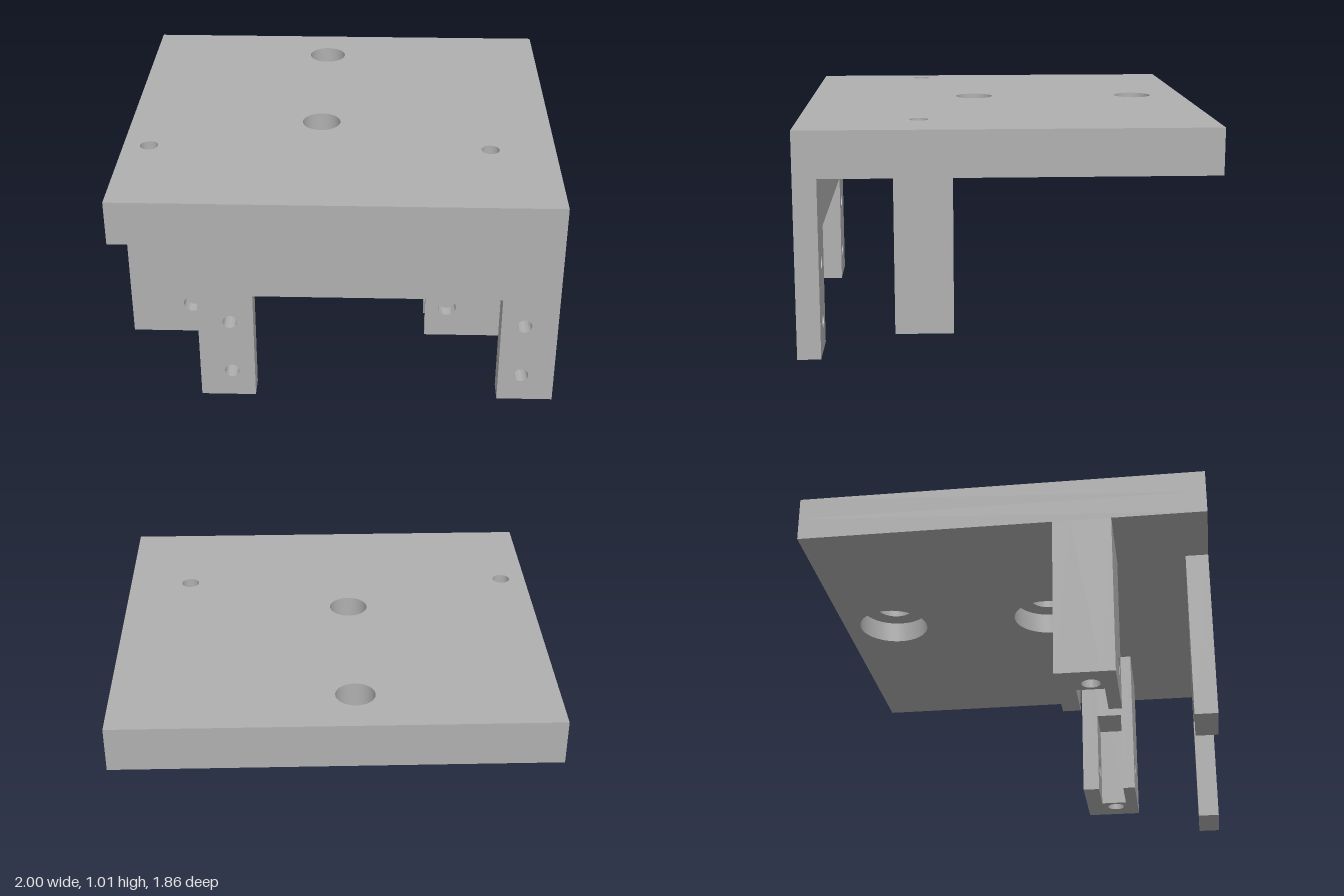
import * as THREE from 'three';
import { toCreasedNormals } from 'three/addons/utils/BufferGeometryUtils.js';

const metal = new THREE.MeshStandardMaterial({ color: 0xb0b0b0 });
metal.name = 'grey metal';

const rect = (x0, y0, x1, y1) => [[x0, y0], [x1, y0], [x1, y1], [x0, y1]];

// Outline with round holes [x, y, radius], extruded by depth
function slab(outline, holes, depth) {
  const shape = new THREE.Shape(outline.map(([x, y]) => new THREE.Vector2(x, y)));
  for (const [x, y, r] of holes) {
    const path = new THREE.Path();
    path.absarc(x, y, r, 0, Math.PI * 2, true);
    shape.holes.push(path);
  }
  return new THREE.ExtrudeGeometry(shape, { depth, bevelEnabled: false, curveSegments: 20 });
}

function add(group, name, geometry) {
  const mesh = new THREE.Mesh(toCreasedNormals(geometry, 0.6), metal);
  mesh.name = name;
  group.add(mesh);
}

// Outline drawn in x, y and extruded from z0 to z1
const upright = (group, name, outline, holes, z0, z1) =>
  add(group, name, slab(outline, holes, z1 - z0).translate(0, 0, z0));

// Outline drawn in x, z and extruded from y0 to y1
const flat = (group, name, outline, holes, y0, y1) =>
  add(group, name, slab(outline, holes, y1 - y0).rotateX(Math.PI / 2).translate(0, y1, 0));

const TOP = 1.015, UNDER = 0.805, AXIS = -0.09;
const Z = 0.93;

// Slotted block; side = -1 or 1, mirrored about the plate's hole axis
function makeClevis(side, name) {
  const group = new THREE.Group();
  group.name = name;
  const at = (d) => AXIS + side * d;
  const span = (d0, d1, a, b) => rect(Math.min(at(d0), at(d1)), a, Math.max(at(d0), at(d1)), b);
  const inner = 0.51, outer = 0.91, slotEnd = 0.73, low = 0.055;
  const pin = [at(0.615), 0.215, 0.043];
  const setScrew = [at(0.79), 0.215, 0.043];
  const face = span(inner, outer, low, UNDER);
  upright(group, 'rearCheek', face, [pin, setScrew], 0.24, 0.32);
  upright(group, 'frontCheek', face, [pin], 0.445, 0.505);
  // solid web with the vertical bolt hole, and the roof of the slot
  flat(group, 'web', span(slotEnd, outer, 0.32, 0.445), [[at(0.79), 0.39, 0.042]], low, UNDER);
  upright(group, 'slotRoof', span(inner, slotEnd, 0.465, UNDER), [], 0.32, 0.445);
  return group;
}

export function createModel() {
  const model = new THREE.Group();
  model.name = 'mountingBracket';

  // Top plate in two layers: through holes above, counterbores below
  const bolts = [[AXIS - 0.79, 0.39, 0.042], [AXIS + 0.79, 0.39, 0.042]];
  const bores = (r) => [[AXIS, -0.68, r], [AXIS, 0.12, r], ...bolts];
  const square = rect(-1, -Z, 1, Z);
  flat(model, 'plateTop', square, bores(0.09), 0.91, TOP);
  flat(model, 'plateUnderside', square, bores(0.172), UNDER, 0.91);

  // Front apron with two drilled legs
  const apron = [[-0.62, 0], [-0.37, 0], [-0.37, 0.545], [0.745, 0.545],
    [0.745, 0], [1, 0], [1, UNDER], [-0.62, UNDER]];
  const drilled = [];
  for (const x of [-0.475, 0.85]) for (const y of [0.135, 0.405]) drilled.push([x, y, 0.033]);
  upright(model, 'frontApron', apron, drilled, 0.825, Z);

  // Pair of slotted blocks
  model.add(makeClevis(-1, 'rightClevis'), makeClevis(1, 'leftClevis'));
  return model;
}
